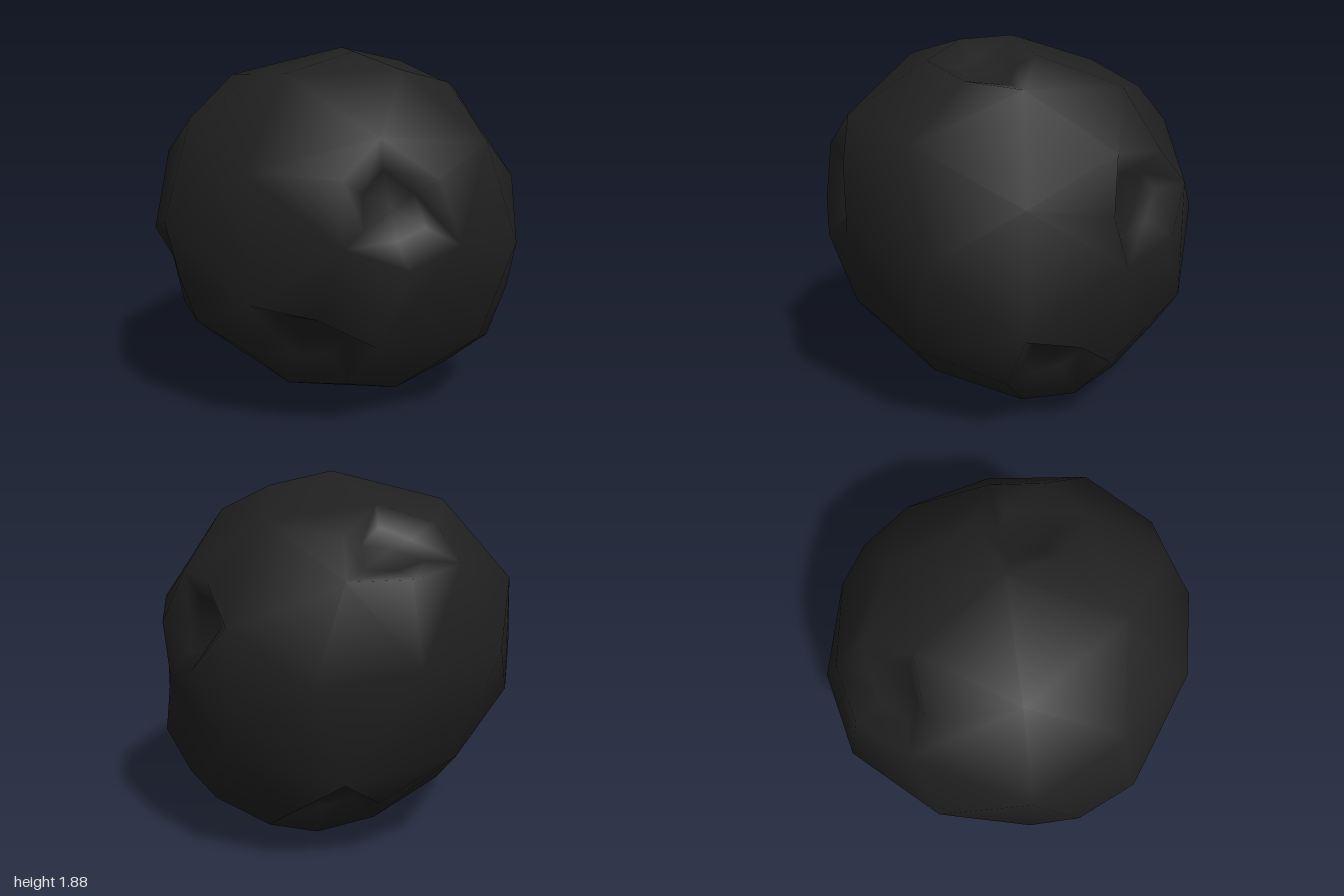
import * as THREE from 'three';
import { mergeVertices } from 'three/addons/utils/BufferGeometryUtils.js';

const BULGE = 0.55, FLOOR = 0.6, DEPTH = 0.11;

// directions of the facets that are sunk into hollows
const hollows = [
  [-0.28, 0.17, 0.9],    // front
  [-0.54, -0.54, 0.54],  // front, low
  [-0.9, -0.28, -0.17],  // -x side
  [0.17, 0.9, 0.28],     // top
  [0, 0.62, -0.71],      // back, high
  [0.27, -0.72, -0.55],  // back, low
  [0.9, 0.28, -0.17],    // +x side
  [0.72, -0.55, 0.27],   // +x side, low
].map((d) => new THREE.Vector3(...d).normalize());

// Uneven squash: flat on top, leaning down towards +x and the back
function squash(p) {
  const { x, y, z } = p;
  p.x = (x > 0 ? x * (0.9 + 0.1 * Math.abs(y)) : x * 1.01) + 0.04 * Math.abs(z);
  p.y = y > 0 ? y * (1 - 0.14 * y * y) + 0.13 * y * Math.min(z, 0) : y * 1.02;
  p.y -= x > 0 ? 0.15 * x : 0.03 * x;
}

function boulderGeometry() {
  // coarse ball of 80 facets with corners on the three axes
  const ball = new THREE.IcosahedronGeometry(1, 1).rotateY(Math.PI / 2);
  ball.deleteAttribute('uv');
  ball.deleteAttribute('normal');
  const merged = mergeVertices(ball, 1e-4);
  const points = [], facets = [], faces = [];
  for (let i = 0; i < merged.attributes.position.count; i++) {
    points.push(new THREE.Vector3().fromBufferAttribute(merged.attributes.position, i));
  }
  for (let i = 0; i < merged.index.count; i += 3) {
    const corners = [0, 1, 2].map((k) => merged.index.getX(i + k));
    const center = new THREE.Vector3();
    corners.forEach((c) => center.add(points[c]));
    center.normalize();
    facets.push({ corners, center, hollow: hollows.some((h) => h.angleTo(center) < 0.12) });
  }

  // outward-pushed middle points widen each hollow's triangle to a rounder rim
  const middles = new Map();
  const edgeKey = (a, b) => `${Math.min(a, b)}-${Math.max(a, b)}`;
  for (const { corners, center, hollow } of facets) {
    if (!hollow) continue;
    corners.forEach((a, k) => {
      const b = corners[(k + 1) % 3];
      const mid = points[a].clone().add(points[b]).normalize();
      mid.lerp(center, -BULGE).normalize().multiplyScalar(1.01);
      middles.set(edgeKey(a, b), points.push(mid) - 1);
    });
  }

  for (const { corners, center, hollow } of facets) {
    const loop = [];
    corners.forEach((a, k) => {
      loop.push(a);
      const middle = middles.get(edgeKey(a, corners[(k + 1) % 3]));
      if (middle !== undefined) loop.push(middle);
    });
    if (hollow) {
      // sloping wall, then a sunken floor
      const floor = loop.map((r) => {
        const p = center.clone().lerp(points[r], FLOOR).normalize();
        return points.push(p.multiplyScalar(1 - DEPTH)) - 1;
      });
      const bottom = points.push(center.clone().multiplyScalar(1 - DEPTH)) - 1;
      loop.forEach((a, k) => {
        const n = (k + 1) % loop.length;
        faces.push(a, loop[n], floor[n], a, floor[n], floor[k], floor[k], floor[n], bottom);
      });
    } else {
      // fan, started at a middle point where there is one
      const start = Math.max(0, loop.findIndex((p) => !corners.includes(p)));
      const fan = [...loop.slice(start), ...loop.slice(0, start)];
      for (let k = 1; k < fan.length - 1; k++) faces.push(fan[0], fan[k], fan[k + 1]);
    }
  }

  points.forEach(squash);
  const geometry = new THREE.BufferGeometry().setFromPoints(points);
  geometry.setIndex(faces);
  geometry.computeVertexNormals();
  geometry.computeBoundingBox();
  geometry.translate(0.05, -geometry.boundingBox.min.y, 0);
  return geometry;
}

export function createModel() {
  const group = new THREE.Group();
  group.name = 'pittedBoulder';
  const charcoal = new THREE.MeshStandardMaterial({ color: 0x202020 });
  charcoal.name = 'charcoal';
  const boulder = new THREE.Mesh(boulderGeometry(), charcoal);
  boulder.name = 'boulder';
  group.add(boulder);
  return group;
}
